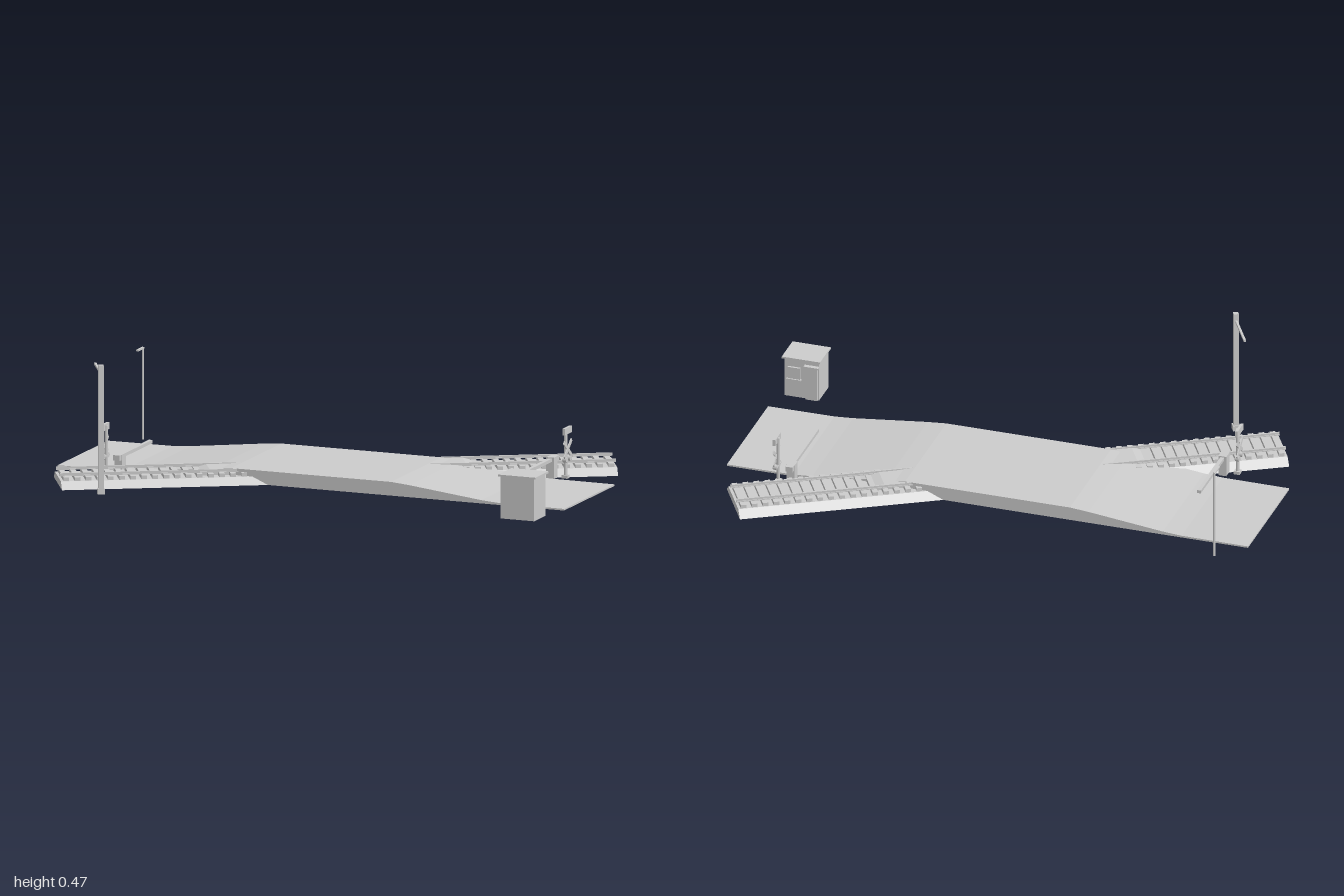
import * as THREE from 'three';

export function createModel() {
  const model = new THREE.Group();
  model.name = 'levelCrossing';
  const grey = new THREE.MeshStandardMaterial({ color: 0xcccccc });
  grey.name = 'plain grey';

  const add = (parent, name, geo, x = 0, y = 0, z = 0) => {
    const m = new THREE.Mesh(geo, grey);
    m.name = name;
    m.position.set(x, y, z);
    parent.add(m);
    return m;
  };
  const box = (parent, name, w, h, d, x, y, z) =>
    add(parent, name, new THREE.BoxGeometry(w, h, d), x, y, z);
  const group = (parent, name, x = 0, y = 0, z = 0, ry = 0) => {
    const g = new THREE.Group();
    g.name = name;
    g.position.set(x, y, z);
    g.rotation.y = ry;
    parent.add(g);
    return g;
  };
  // Extrudes a 2D outline, centred on its depth
  const prism = (points, depth) => {
    const shape = new THREE.Shape(points.map(([x, y]) => new THREE.Vector2(x, y)));
    return new THREE.ExtrudeGeometry(shape, { depth, bevelEnabled: false }).translate(0, 0, -depth / 2);
  };
  const SKEW = -Math.PI / 6;
  const AXIS = -0.075;

  // Road hump, crossing the track at an angle
  const road = group(model, 'roadGroup', 0, 0, AXIS, SKEW);
  const half = [[0.31, 0.05], [0.38, 0.044], [0.66, 0.012], [0.73, 0.007], [0.98, 0.006]];
  add(road, 'road', prism([
    [-0.98, 0], [0.98, 0], ...[...half].reverse(), ...half.map(([x, y]) => [-x, y]),
  ], 0.464));

  // Track: ballast bed, sleepers, rails and the panel between the rails
  const track = group(model, 'track', 0, 0, AXIS);
  add(track, 'ballast', prism([[-0.118, 0], [0.118, 0], [0.088, 0.026], [-0.088, 0.026]], 2))
    .rotation.y = Math.PI / 2;
  for (let i = 0; i < 19; i++) {
    for (const s of [-1, 1]) {
      box(track, 'sleeper', 0.02, 0.013, 0.17, s * (0.98 - i * 0.04), 0.0325, 0);
    }
  }
  for (const s of [-1, 1]) {
    box(track, 'railFoot', 2, 0.003, 0.012, 0, 0.0405, s * 0.055);
    box(track, 'railHead', 2, 0.01, 0.006, 0, 0.0445, s * 0.055);
  }
  add(track, 'crossingPanel', prism([[-0.5, 0.026], [0.5, 0.026], [0.5, 0.036], [0.46, 0.047], [-0.46, 0.047], [-0.5, 0.036]], 0.096));

  // Barrier and warning sign on each side, half a turn apart
  for (const turn of [0, Math.PI]) {
    const side = group(model, 'crossingSide', 0, 0, AXIS, SKEW + turn);

    const barrier = group(side, 'barrier', 0.72, 0, -0.275);
    box(barrier, 'barrierCabinet', 0.03, 0.078, 0.035, 0, 0.039, 0);
    box(barrier, 'barrierArm', 0.014, 0.012, 0.29, 0, 0.068, 0.135);
    box(barrier, 'counterweight', 0.026, 0.02, 0.04, 0, 0.068, -0.015);

    const sign = group(side, 'warningSign', 0.766, 0, -0.292);
    box(sign, 'signBase', 0.022, 0.012, 0.022, 0, 0.006, 0);
    add(sign, 'signPost', new THREE.CylinderGeometry(0.006, 0.006, 0.18, 10), 0, 0.09, 0);
    for (const s of [-1, 1]) {
      box(sign, 'crossBlade', 0.004, 0.013, 0.086, 0.008 + s * 0.001, 0.108, 0).rotation.x = s * 0.7;
      const lamp = add(sign, 'warningLamp', new THREE.CylinderGeometry(0.01, 0.01, 0.014, 12), 0.006, 0.07, s * 0.018);
      lamp.rotation.z = Math.PI / 2;
    }
    box(sign, 'lampBar', 0.006, 0.005, 0.05, 0, 0.07, 0);
    box(sign, 'signPlate', 0.01, 0.024, 0.064, 0.006, 0.174, 0);
  }

  // Tall mast with an arm reaching over the track
  const mast = group(model, 'mast', -0.87, 0, 0.122);
  box(mast, 'mastBase', 0.026, 0.02, 0.026, 0, 0.01, 0);
  box(mast, 'mastPole', 0.018, 0.47, 0.018, 0, 0.235, 0);
  box(mast, 'mastArm', 0.008, 0.008, 0.16, 0, 0.441, -0.08);

  // Slim street lamp
  const lamp = group(model, 'streetLamp', -0.603, 0, -0.8, SKEW);
  add(lamp, 'lampPole', new THREE.CylinderGeometry(0.004, 0.004, 0.335, 8), 0, 0.1675, 0);
  box(lamp, 'lampHead', 0.009, 0.006, 0.055, 0, 0.334, 0.025);

  // Keeper's hut, with its door and window facing the road
  const hut = group(model, 'hut', 0.575, 0, 0.708, SKEW);
  box(hut, 'hutWalls', 0.13, 0.154, 0.104, 0, 0.077, 0.003);
  box(hut, 'hutRoof', 0.144, 0.007, 0.122, 0, 0.157, 0);
  box(hut, 'hutDoor', 0.044, 0.13, 0.008, -0.038, 0.065, -0.053);
  box(hut, 'doorHood', 0.054, 0.006, 0.018, -0.038, 0.133, -0.056);
  box(hut, 'windowSill', 0.054, 0.005, 0.014, 0.028, 0.073, -0.055);
  box(hut, 'hutWindow', 0.046, 0.045, 0.008, 0.028, 0.098, -0.053);

  return model;
}
